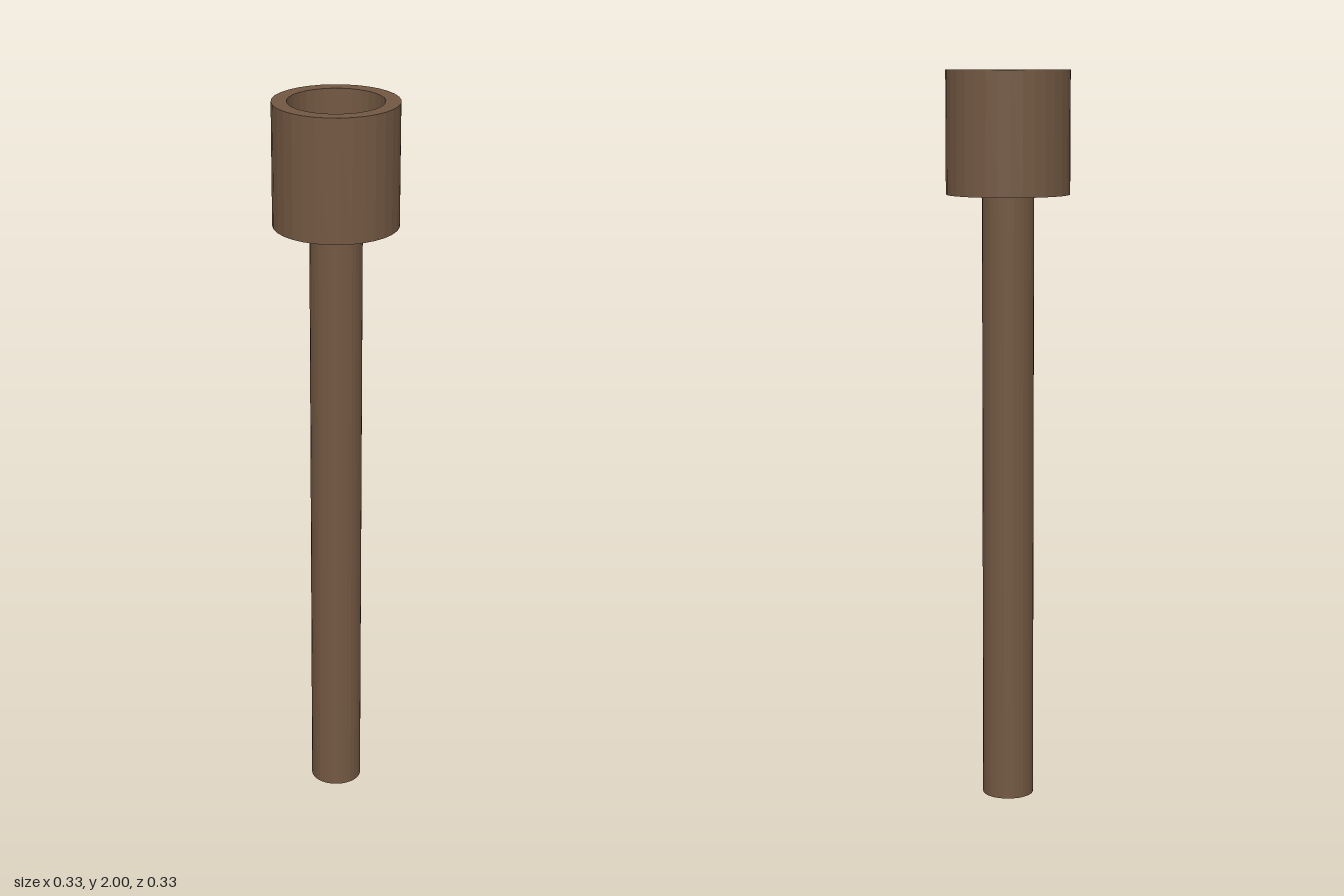
import * as THREE from 'three';

const SIDES = 32;
const STEM_R = 0.07, BOWL_R = 0.167, BORE_R = 0.127;
const BOWL_BASE = 1.67, BOWL_FLOOR = 1.71, TOP = 2;

export function createModel() {
  const group = new THREE.Group();
  const wood = new THREE.MeshStandardMaterial({ color: 0x735842, flatShading: true });

  // Long straight stem standing on the ground
  const stem = new THREE.Mesh(new THREE.CylinderGeometry(STEM_R, STEM_R, BOWL_BASE, SIDES), wood);
  stem.name = 'stem';
  stem.position.y = BOWL_BASE / 2;
  group.add(stem);

  // Hollow cup: underside, outer wall, rim, bore and floor
  const profile = [
    [0, BOWL_BASE], [BOWL_R, BOWL_BASE], [BOWL_R, TOP],
    [BORE_R, TOP], [BORE_R, BOWL_FLOOR], [0, BOWL_FLOOR],
  ].map(([r, y]) => new THREE.Vector2(r, y));
  const cup = new THREE.Mesh(new THREE.LatheGeometry(profile, SIDES), wood);
  cup.name = 'cup';
  group.add(cup);

  return group;
}
